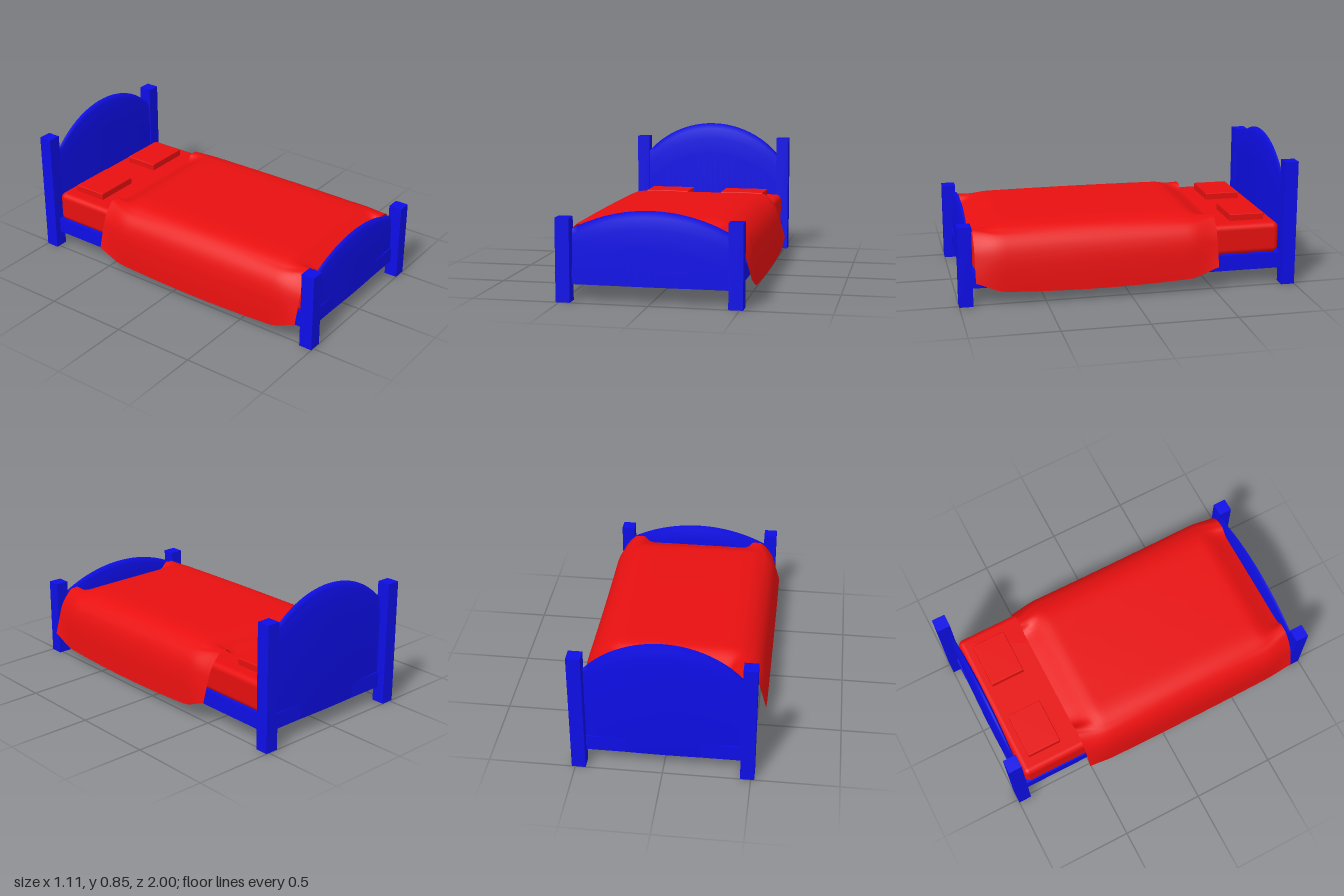
import * as THREE from 'three';
import { RoundedBoxGeometry } from 'three/addons/geometries/RoundedBoxGeometry.js';

const blue = new THREE.MeshStandardMaterial({ color: 0x0e0ee8 });
const red = new THREE.MeshStandardMaterial({ color: 0xe81010 });
const blueSheet = new THREE.MeshStandardMaterial({ color: 0x0e0ee8, side: THREE.DoubleSide });
const redSheet = new THREE.MeshStandardMaterial({ color: 0xe81010, side: THREE.DoubleSide });

// Skins a list of cross-sections (each a list of [x, y, z] points)
function loft(rows) {
  const n = rows[0].length, index = [];
  for (let i = 0; i < rows.length - 1; i++) {
    for (let j = 0; j < n - 1; j++) {
      const a = i * n + j, b = a + 1, c = a + n, d = c + 1;
      index.push(a, c, b, b, c, d);
    }
  }
  const geo = new THREE.BufferGeometry();
  geo.setAttribute('position', new THREE.Float32BufferAttribute(rows.flat(2), 3));
  geo.setIndex(index);
  geo.computeVertexNormals();
  return geo;
}

// Arched board, thickest in the middle and tapering to a thin top edge
function archedPanel(sideY, peakY, z) {
  const half = 0.445, rise = peakY - sideY, bottom = 0.095;
  const radius = (half * half + rise * rise) / (2 * rise);
  const rows = [];
  for (let i = 0; i <= 24; i++) {
    const x = half * (i / 12 - 1);
    const top = peakY - radius + Math.sqrt(radius * radius - x * x);
    const t = 0.008 + 0.013 * (1 - (x / half) ** 2);
    const front = [[1, bottom], [1, top - 0.2], [0.85, top - 0.1], [0.5, top - 0.035]];
    const ring = [...front, [0, top], ...front.map(([w, y]) => [-w, y]).reverse(), front[0]];
    rows.push(ring.map(([w, y]) => [x, y, z + w * t]));
  }
  return loft(rows);
}

// Blanket draped over the mattress, dipping at both ends between creased corners
function blanketGeometry() {
  const curve = pts => new THREE.SplineCurve(pts.map(p => new THREE.Vector2(...p)));
  const middle = curve([[0, 0.452], [0.2, 0.452], [0.34, 0.45], [0.42, 0.43], [0.475, 0.39],
    [0.515, 0.33], [0.54, 0.23], [0.553, 0.07]]);
  const end = curve([[0, 0.382], [0.2, 0.382], [0.32, 0.385], [0.37, 0.43], [0.43, 0.41],
    [0.495, 0.32], [0.525, 0.22], [0.553, 0.12]]);
  const z0 = -0.52, z1 = 0.905, steps = 48, cols = 28, rows = [];
  for (let i = 0; i <= steps; i++) {
    const z = z0 + (z1 - z0) * i / steps;
    const s = 2 * i / steps - 1;
    const e = THREE.MathUtils.smoothstep(Math.abs(s), 0.76, 1.04);
    const row = [];
    for (let j = -cols; j <= cols; j++) {
      const t = Math.abs(j) / cols;
      const p = middle.getPoint(t).lerp(end.getPoint(t), e);
      const bow = s * s * (t > 0.5 ? 0.03 * (t - 0.5) * 2 : -0.006);
      row.push([Math.sign(j) * p.x, p.y + bow, z]);
    }
    rows.push(row);
  }
  return loft(rows);
}

export function createModel() {
  const group = new THREE.Group();
  const add = (name, geo, mat, x = 0, y = 0, z = 0) => {
    const mesh = new THREE.Mesh(geo, mat);
    mesh.name = name;
    mesh.position.set(x, y, z);
    group.add(mesh);
  };

  // Wooden frame
  add('bedBase', new THREE.BoxGeometry(0.96, 0.095, 1.906), blue, 0, 0.1425, 0);
  add('headboard', archedPanel(0.645, 0.845, -0.935), blueSheet);
  add('footboard', archedPanel(0.4, 0.512, 0.935), blueSheet);

  // Bedding
  add('mattress', new RoundedBoxGeometry(0.96, 0.185, 1.82, 4, 0.035), red, 0, 0.2825, 0);
  add('blanket', blanketGeometry(), redSheet);

  // Posts and pillows on both sides
  for (const [side, s] of [['left', 1], ['right', -1]]) {
    add(side + 'HeadPost', new THREE.BoxGeometry(0.08, 0.75, 0.08), blue, s * 0.48, 0.375, -0.96);
    add(side + 'FootPost', new THREE.BoxGeometry(0.08, 0.47, 0.08), blue, s * 0.48, 0.235, 0.96);
    add(side + 'Pillow', new RoundedBoxGeometry(0.28, 0.045, 0.21, 2, 0.005), red, s * 0.25, 0.393, -0.735);
  }
  return group;
}
